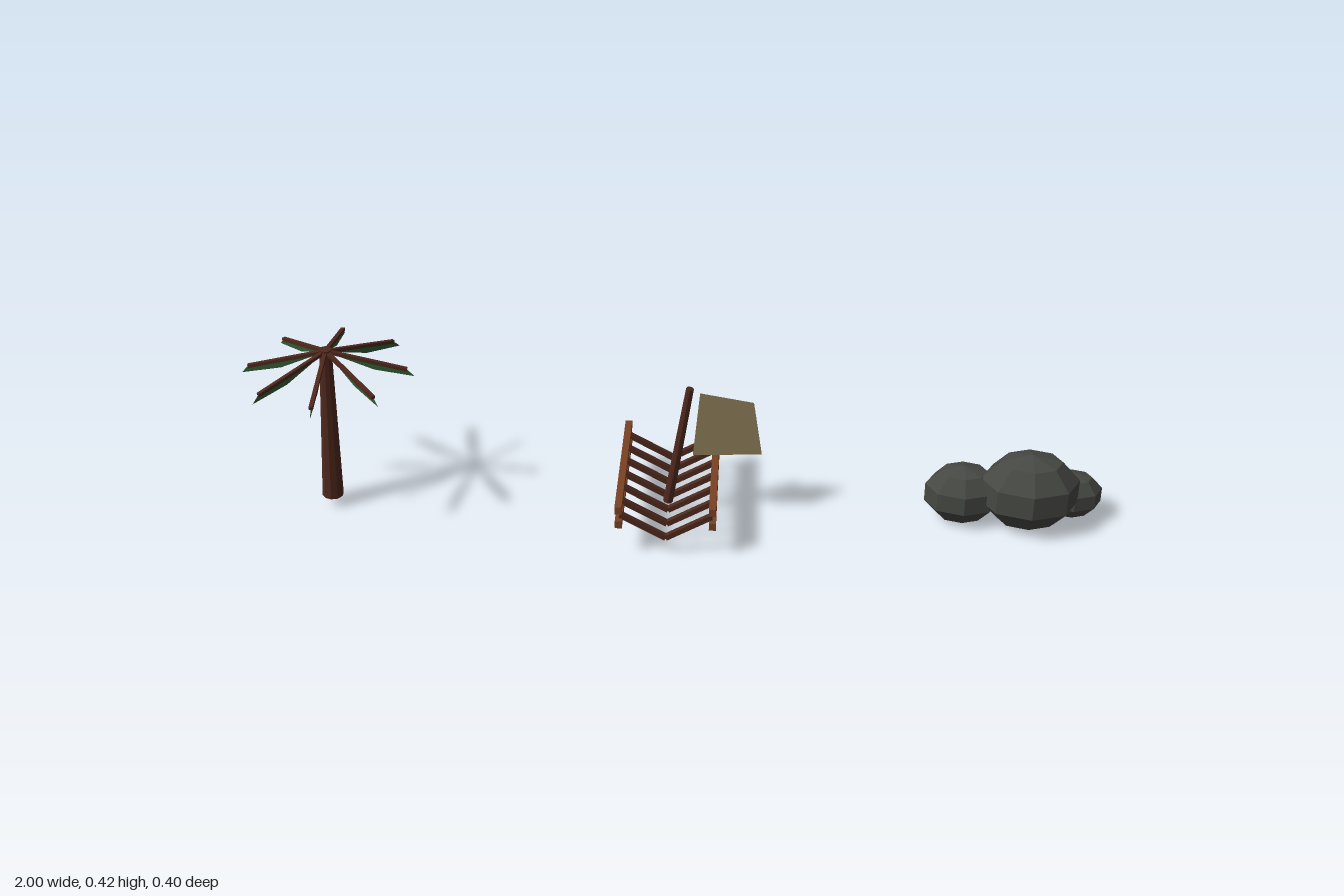
import * as THREE from 'three';

const mat = (name, color, extra = {}) => {
  const m = new THREE.MeshStandardMaterial({ color, flatShading: true, ...extra });
  m.name = name;
  return m;
};

export function createModel() {
  const root = new THREE.Group();
  const darkWood = mat('darkWood', 0x4e281d);
  const plankWood = mat('plankWood', 0x7a4222);
  const leafGreen = mat('leafGreen', 0x2f5a33, { side: THREE.DoubleSide });
  const canvas = mat('canvas', 0x8c7b58, { side: THREE.DoubleSide });
  const stone = mat('stone', 0x464843);

  const group = (name) => {
    const g = new THREE.Group();
    g.name = name;
    root.add(g);
    return g;
  };
  const add = (parent, name, geo, material, x = 0, y = 0, z = 0) => {
    const m = new THREE.Mesh(geo, material);
    m.name = name;
    m.position.set(x, y, z);
    parent.add(m);
    return m;
  };
  // Tapered pole between two points
  const pole = (parent, name, a, b, rBottom, rTop, sides) => {
    const from = new THREE.Vector3(...a), dir = new THREE.Vector3(...b).sub(from);
    const m = add(parent, name, new THREE.CylinderGeometry(rTop, rBottom, dir.length(), sides), darkWood);
    m.position.copy(from).addScaledVector(dir, 0.5);
    m.quaternion.setFromUnitVectors(new THREE.Vector3(0, 1, 0), dir.normalize());
  };
  const sheet = (points) => new THREE.ShapeGeometry(
    new THREE.Shape(points.map(([x, y]) => new THREE.Vector2(x, y))));

  // Palm tree: leaning trunk with eight drooping fronds
  const palm = group('palmTree');
  pole(palm, 'trunk', [-0.82, 0.026, 0], [-0.8, 0.422, 0], 0.025, 0.014, 10);
  const slope = Math.atan2(0.043, 0.184);
  const leafGeo = sheet([[0, 0.415], [0.108, 0.371], [0.2, 0.356], [0.183, 0.374], [0.108, 0.392]]);
  for (let i = 0; i < 8; i++) {
    const frond = new THREE.Group();
    frond.name = 'frond';
    frond.position.x = -0.8;
    frond.rotation.y = i * Math.PI / 4;
    palm.add(frond);
    const stem = add(frond, 'frondStem', new THREE.BoxGeometry(0.188, 0.008, 0.009), darkWood, 0.092, 0.395, 0);
    stem.rotation.z = -slope;
    add(frond, 'frondLeaf', leafGeo, leafGreen);
  }

  // Wrecked boat: V-shaped ribs, side planks, leaning mast and torn sail
  const boat = group('boatWreck');
  const keelX = -0.016;
  for (const side of [-1, 1]) {
    for (let i = -3; i <= 3; i++) {
      const rib = add(boat, 'hullRib', new THREE.BoxGeometry(0.12, 0.0125, 0.0125), darkWood,
        keelX + side * 0.052, 0.0745, i * 0.057);
      rib.rotation.z = side * Math.PI / 6;
    }
    for (const y of [0.0875, 0.1255]) {
      add(boat, 'sidePlank', new THREE.BoxGeometry(0.016, 0.019, 0.378), plankWood,
        keelX + side * 0.107, y, 0);
    }
  }
  pole(boat, 'mast', [-0.018, 0.046, 0.024], [0.033, 0.354, 0.024], 0.0115, 0.009, 8);
  add(boat, 'sail', sheet([[0.04, 0.176], [0.2, 0.181], [0.179, 0.32], [0.056, 0.342]]), canvas, 0, 0, 0.024);

  // Rock cluster: flattened faceted boulders
  const rocks = group('rocks');
  for (const [x, y, z, r] of [
    [0.672, 0.075, 0, 0.074],
    [0.823, 0.102, 0.023, 0.096],
    [0.931, 0.064, -0.023, 0.058],
  ]) {
    add(rocks, 'boulder', new THREE.SphereGeometry(r, 8, 5), stone, x, y, z).scale.set(1.25, 1, 0.93);
  }
  return root;
}
